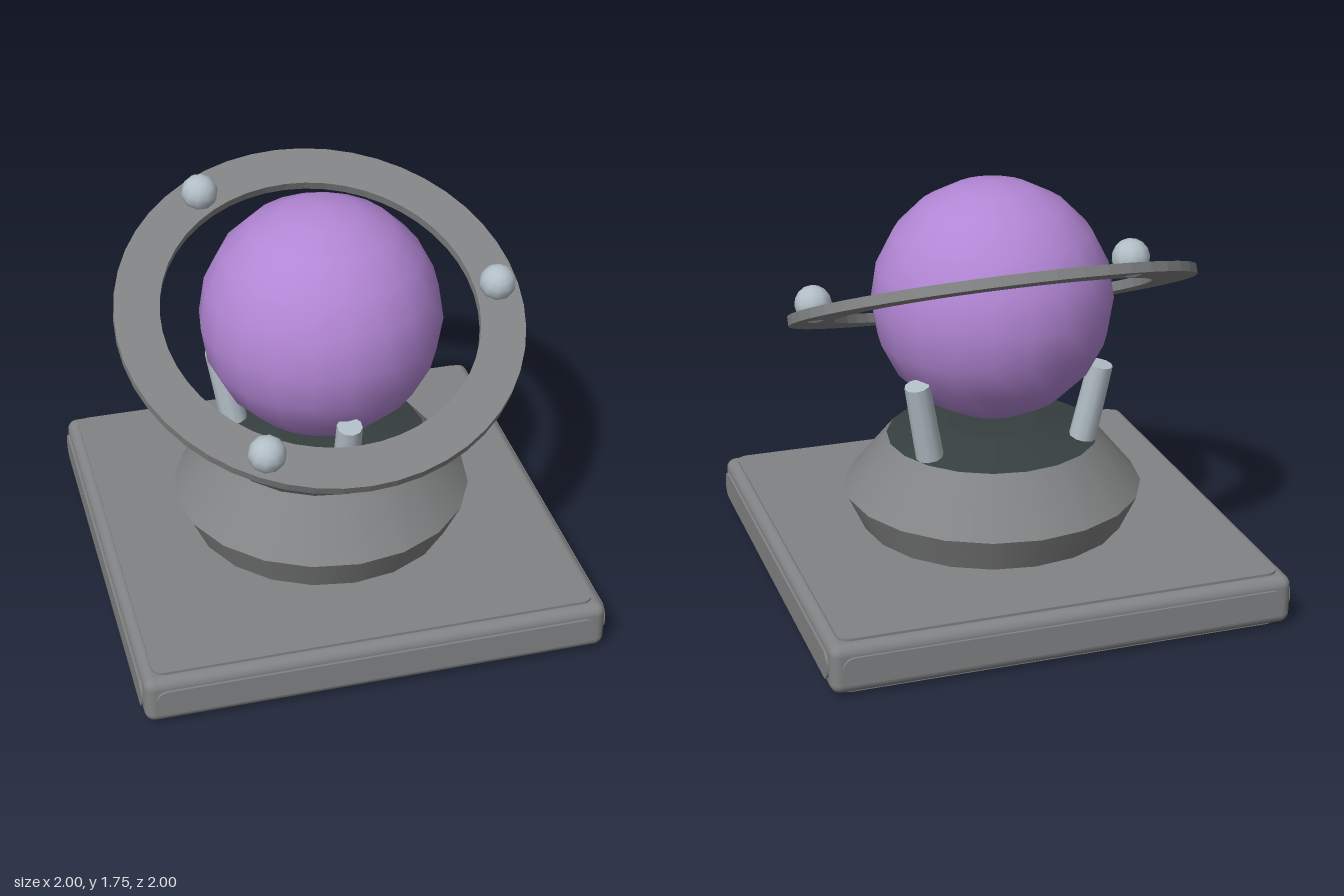
import * as THREE from 'three';
import { RoundedBoxGeometry } from 'three/addons/geometries/RoundedBoxGeometry.js';

const grey = new THREE.MeshStandardMaterial({ name: 'stoneGrey', color: 0x828384 });
const dark = new THREE.MeshStandardMaterial({ name: 'darkSlate', color: 0x36403e });
const silver = new THREE.MeshStandardMaterial({ name: 'silver', color: 0xb2bec6 });
const purple = new THREE.MeshStandardMaterial({ name: 'orbPurple', color: 0xb286d4 });

function add(parent, name, geometry, material, x = 0, y = 0, z = 0) {
  const mesh = new THREE.Mesh(geometry, material);
  mesh.name = name;
  mesh.position.set(x, y, z);
  parent.add(mesh);
  return mesh;
}

// Rounded rectangle extruded along z and centred on the origin
function roundedSlab(w, h, depth, r) {
  const s = new THREE.Shape();
  const a = w / 2, b = h / 2;
  s.moveTo(-a + r, -b);
  s.absarc(a - r, -b + r, r, -Math.PI / 2, 0);
  s.absarc(a - r, b - r, r, 0, Math.PI / 2);
  s.absarc(-a + r, b - r, r, Math.PI / 2, Math.PI);
  s.absarc(-a + r, -b + r, r, Math.PI, Math.PI * 1.5);
  return new THREE.ExtrudeGeometry(s, { depth, bevelEnabled: false, curveSegments: 5 })
    .translate(0, 0, -depth / 2);
}

export function createModel() {
  const model = new THREE.Group();
  model.name = 'orbOnPedestal';

  // Square plinth with slightly raised panels on every face
  const base = new THREE.Group();
  base.name = 'base';
  model.add(base);
  const midY = 0.118;
  add(base, 'baseBlock', new RoundedBoxGeometry(1.98, 0.214, 1.98, 3, 0.045), grey, 0, midY);
  add(base, 'topAndBottomPanels', roundedSlab(1.89, 1.89, 0.236, 0.05).rotateX(Math.PI / 2), grey, 0, midY);
  add(base, 'frontAndBackPanels', roundedSlab(1.89, 0.12, 2, 0.05), grey, 0, midY);
  add(base, 'sidePanels', roundedSlab(1.89, 0.12, 2, 0.05).rotateY(Math.PI / 2), grey, 0, midY);

  // Flared pedestal and its dark cap
  add(model, 'pedestalLower', new THREE.CylinderGeometry(0.65, 0.575, 0.16, 20, 1, true), grey, 0, 0.31);
  add(model, 'pedestalUpper', new THREE.CylinderGeometry(0.46, 0.65, 0.23, 20, 1, true), grey, 0, 0.505);
  add(model, 'pedestalCap', new THREE.CylinderGeometry(0.2, 0.46, 0.053, 20), dark, 0, 0.6465);

  // Three posts leaning outward beneath the orb
  for (let i = 0; i < 3; i++) {
    const pivot = new THREE.Group();
    pivot.name = 'postMount';
    pivot.rotation.y = i * Math.PI * 2 / 3;
    const post = add(pivot, 'post', new THREE.CylinderGeometry(0.054, 0.06, 0.38, 10), silver, 0, 0.785, 0.43);
    post.rotation.x = 0.21;
    model.add(pivot);
  }

  // Orb
  add(model, 'orb', new THREE.SphereGeometry(0.517, 20, 10), purple, 0, 1.235);

  // Tilted flat ring carrying three small balls
  const orbit = new THREE.Group();
  orbit.name = 'orbit';
  orbit.position.y = 1.24;
  orbit.rotation.x = THREE.MathUtils.degToRad(24);
  model.add(orbit);
  const disc = new THREE.Shape().absarc(0, 0, 0.873, 0, Math.PI * 2);
  disc.holes.push(new THREE.Path().absarc(0, 0, 0.68, 0, Math.PI * 2, true));
  const ring = new THREE.ExtrudeGeometry(disc, { depth: 0.042, bevelEnabled: false, curveSegments: 24 });
  add(orbit, 'ring', ring.translate(0, 0, -0.021).rotateX(-Math.PI / 2), grey);
  for (let i = 0; i < 3; i++) {
    const a = i * Math.PI * 2 / 3;
    add(orbit, 'ringBall', new THREE.SphereGeometry(0.08, 10, 8), silver,
      Math.cos(a) * 0.775, 0.05, Math.sin(a) * 0.775);
  }
  return model;
}
